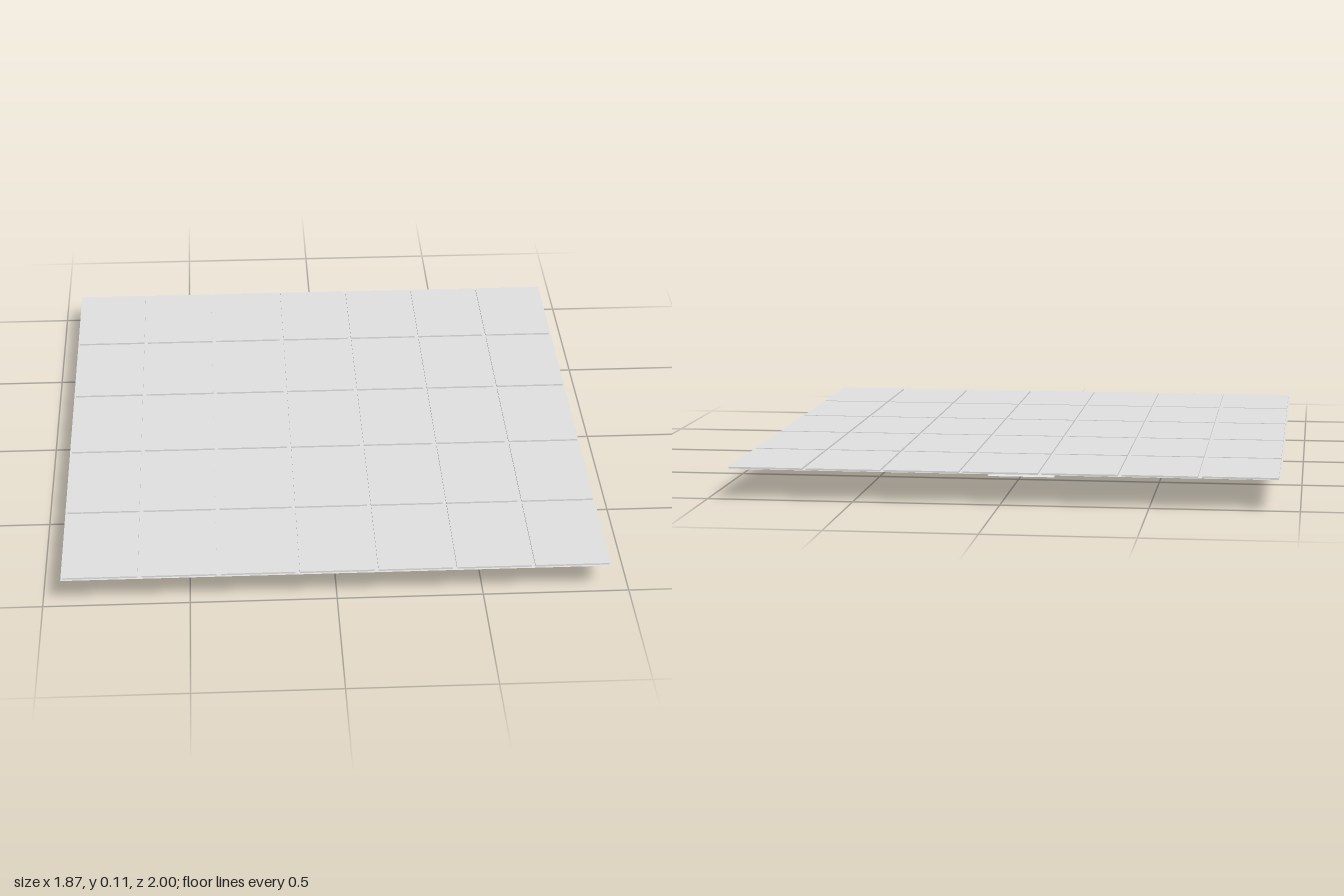
import * as THREE from 'three';

// Thin sheets, seen from both sides
const panelMat = new THREE.MeshStandardMaterial({ color: 0xe0e0e0, side: THREE.DoubleSide });
panelMat.name = 'ceilingGrey';
const barMat = new THREE.MeshStandardMaterial({ color: 0x050505 });
barMat.name = 'barBlack';

// Downward-facing rectangular surface; profile is [inset, y] from rim to centre, closed by a flat cap
function steppedPanel(width, depth, profile) {
  const pos = [];
  const corners = (inset, y) => {
    const x = width / 2 - inset, z = depth / 2 - inset;
    return [[-x, y, -z], [x, y, -z], [x, y, z], [-x, y, z]];
  };
  const quad = (a, b, c, d) => pos.push(...a, ...b, ...c, ...a, ...c, ...d);
  const rings = profile.map(([inset, y]) => corners(inset, y));
  for (let r = 0; r < rings.length - 1; r++) {
    for (let i = 0; i < 4; i++) {
      const j = (i + 1) % 4;
      quad(rings[r][i], rings[r][j], rings[r + 1][j], rings[r + 1][i]);
    }
  }
  quad(...rings[rings.length - 1]);
  const geo = new THREE.BufferGeometry();
  geo.setAttribute('position', new THREE.Float32BufferAttribute(pos, 3));
  geo.computeVertexNormals();
  return geo;
}

export function createModel() {
  const model = new THREE.Group();
  model.name = 'suspendedCeiling';

  // Ceiling tiles, each recessed above its rim of the support grid
  const cols = 7, rows = 5, w = 1.87 / cols, d = 2 / rows;
  const tileGeo = steppedPanel(w, d, [[0, 0.104], [0.007, 0.104], [0.007, 0.11]]);
  const tiles = new THREE.Group();
  tiles.name = 'ceilingTiles';
  for (let c = 0; c < cols; c++) {
    for (let r = 0; r < rows; r++) {
      const tile = new THREE.Mesh(tileGeo, panelMat);
      tile.name = 'ceilingTile';
      tile.position.set((c - (cols - 1) / 2) * w, 0, (r - (rows - 1) / 2) * d);
      tiles.add(tile);
    }
  }
  model.add(tiles);

  // Long black bar with clipped corners, hung below the tiles
  const x0 = -0.877, x1 = 0.623, z0 = 0.008, z1 = 0.1, k = 0.014;
  const outline = new THREE.Shape([
    [x0 + k, z0], [x1 - k, z0], [x1, z0 + k], [x1, z1 - k],
    [x1 - k, z1], [x0 + k, z1], [x0, z1 - k], [x0, z0 + k],
  ].map(([x, z]) => new THREE.Vector2(x, z)));
  const barGeo = new THREE.ExtrudeGeometry(outline, { depth: 0.021, bevelEnabled: false });
  barGeo.rotateX(Math.PI / 2);
  const bar = new THREE.Mesh(barGeo, barMat);
  bar.name = 'hangingBar';
  bar.position.y = 0.097;
  model.add(bar);

  // Square air vent: flange, sloping throat and nested louvres
  const ventGeo = steppedPanel(0.24, 0.22, [
    [0, 0], [0.025, 0.005], [0.03, 0.005], [0.055, 0.02],
    [0.06, 0.02], [0.064, 0.01], [0.076, 0.019],
    [0.08, 0.01], [0.092, 0.019], [0.096, 0.01],
  ]);
  const vent = new THREE.Mesh(ventGeo, panelMat);
  vent.name = 'airVent';
  vent.position.z = -0.335;
  model.add(vent);

  return model;
}
